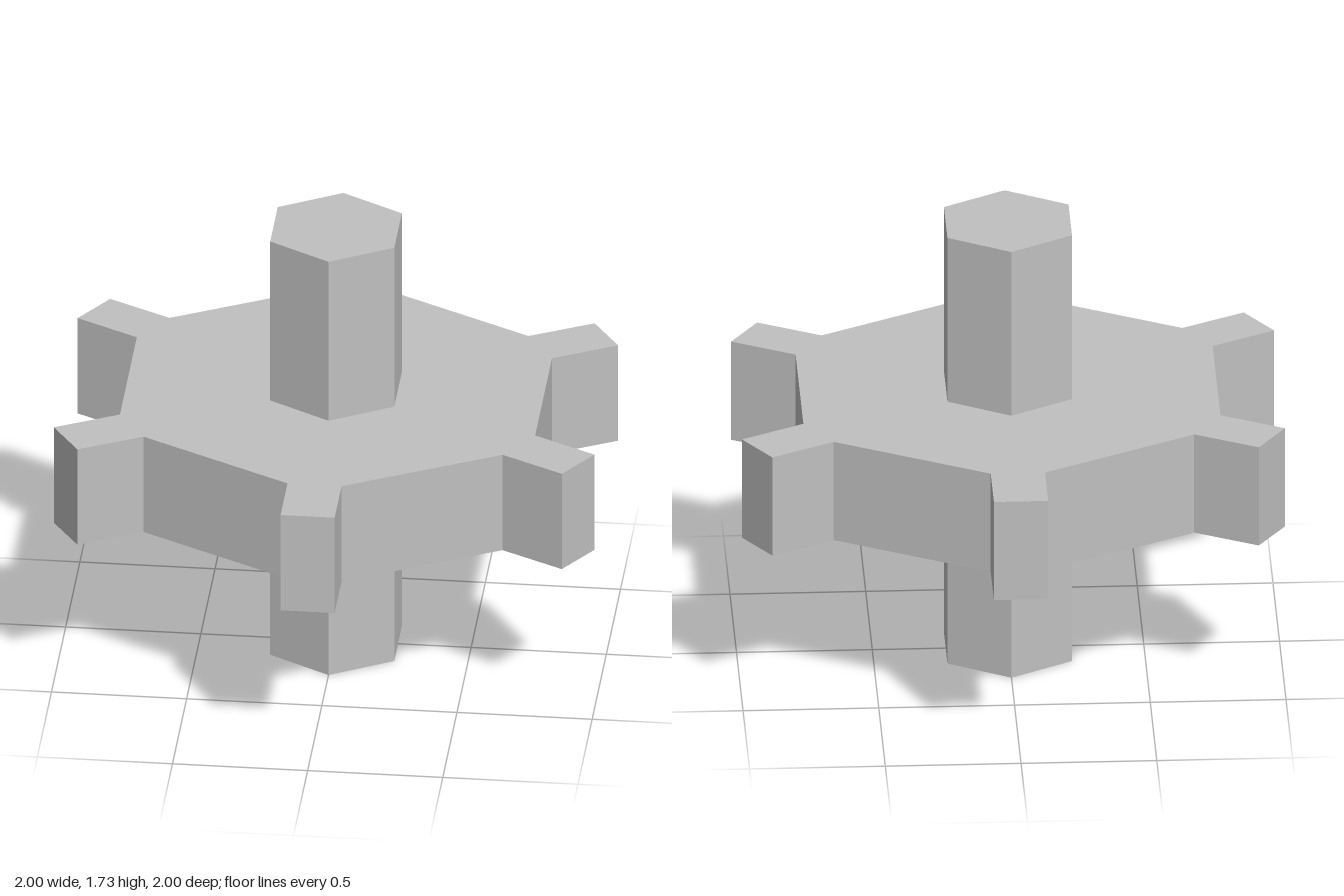
import * as THREE from 'three';

export function createModel() {
  const group = new THREE.Group();
  const grey = new THREE.MeshStandardMaterial({ color: 0xc0c0c0, flatShading: true });
  grey.name = 'plain grey';

  // Hexagonal shaft, a corner facing the front
  const shaft = new THREE.Mesh(new THREE.CylinderGeometry(0.265, 0.265, 1.734, 6), grey);
  shaft.name = 'shaft';
  shaft.position.y = 0.867;
  group.add(shaft);

  // One quarter of the six-toothed wheel outline, mirrored to all four
  const quarter = [[0.768, 0.297], [1, 0.42], [0.896, 0.579], [0.664, 0.457], [0.1, 0.757], [0.1, 1]];
  const flip = (sx, sy) => quarter.map(([x, y]) => new THREE.Vector2(x * sx, y * sy));
  const outline = [
    ...flip(1, 1), ...flip(-1, 1).reverse(),
    ...flip(-1, -1), ...flip(1, -1).reverse(),
  ];
  const wheelGeometry = new THREE.ExtrudeGeometry(new THREE.Shape(outline), { depth: 0.4, bevelEnabled: false });
  wheelGeometry.rotateX(-Math.PI / 2);
  const wheel = new THREE.Mesh(wheelGeometry, grey);
  wheel.name = 'toothedWheel';
  wheel.position.y = 0.667;
  group.add(wheel);

  return group;
}
